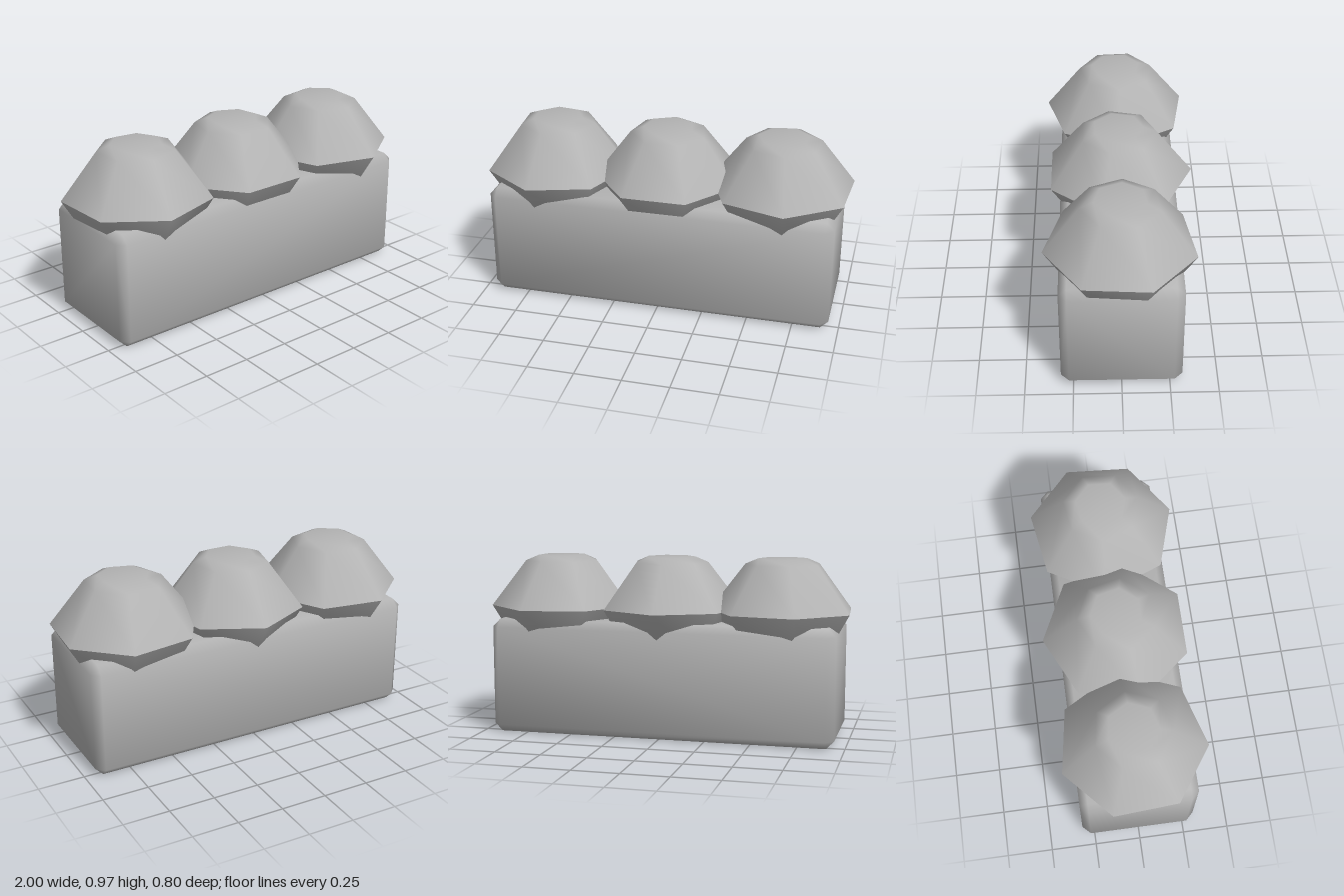
import * as THREE from 'three';
import { ConvexGeometry } from 'three/addons/geometries/ConvexGeometry.js';

const grey = new THREE.MeshStandardMaterial({ color: 0xb4b4b4 });
grey.name = 'grey';

// Box with single-step chamfers and softly blended normals
function chamferedBox(w, h, d, c) {
  const half = [w / 2, h / 2, d / 2];
  const points = [];
  for (let axis = 0; axis < 3; axis++)
    for (const sx of [-1, 1]) for (const sy of [-1, 1]) for (const sz of [-1, 1]) {
      const p = [sx, sy, sz].map((s, i) => s * (half[i] - (i === axis ? 0 : c)));
      points.push(new THREE.Vector3(...p));
    }
  const geo = new ConvexGeometry(points);
  const pos = geo.attributes.position, normal = geo.attributes.normal;
  for (let i = 0; i < pos.count; i++) {
    const n = [pos.getX(i), pos.getY(i), pos.getZ(i)]
      .map((v, k) => Math.sign(v) * (Math.abs(v) > half[k] - c / 2 ? 1 : 0.3));
    const v = new THREE.Vector3(...n).normalize();
    normal.setXYZ(i, v.x, v.y, v.z);
  }
  return geo;
}

// Seven-sided surfaces, profile listed from bottom to top
const lathe = (profile) =>
  new THREE.LatheGeometry(profile.map(([r, y]) => new THREE.Vector2(r, y)), 7);
const domeGeo = lathe([[0.4, 0.69], [0.208, 0.94], [0.137, 0.97], [0, 0.97]]);
const undersideGeo = lathe([[0, 0.42], [0.24, 0.42], [0.4, 0.69]]);

function createMound(name, x, angle) {
  const mound = new THREE.Group();
  mound.name = name;
  const dome = new THREE.Mesh(domeGeo, grey);
  dome.name = 'dome';
  const underside = new THREE.Mesh(undersideGeo, grey);
  underside.name = 'underside';
  mound.add(dome, underside);
  mound.position.x = x;
  mound.rotation.y = angle;
  return mound;
}

export function createModel() {
  const model = new THREE.Group();
  model.name = 'planter';

  // Long trough
  const trough = new THREE.Mesh(chamferedBox(1.89, 0.63, 0.63, 0.043), grey);
  trough.name = 'trough';
  trough.position.y = 0.315;
  model.add(trough);

  // Row of mounds; the outer two mirror each other
  const turn = THREE.MathUtils.degToRad(9);
  model.add(createMound('rightMound', -0.627, -turn));
  model.add(createMound('middleMound', 0, Math.PI));
  model.add(createMound('leftMound', 0.627, turn));
  return model;
}
